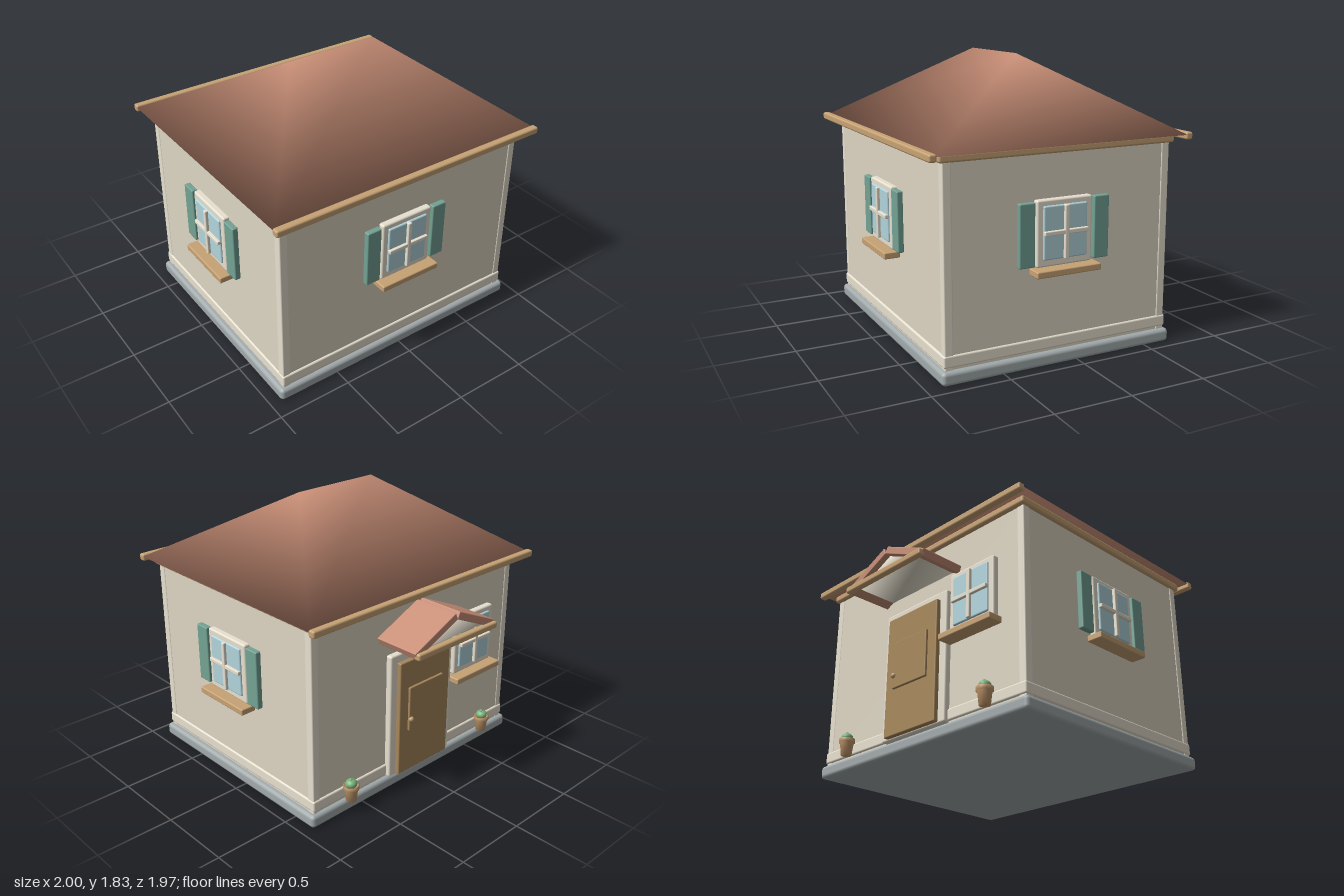
import * as THREE from 'three';
import { RoundedBoxGeometry } from 'three/addons/geometries/RoundedBoxGeometry.js';

const paint = (color, side = THREE.FrontSide) => new THREE.MeshStandardMaterial({ color, side });
const wallMat = paint(0xded6c4), creamMat = paint(0xe8e1d0), stoneMat = paint(0xa3abad);
const roofMat = paint(0xc98f77, THREE.DoubleSide), woodMat = paint(0xc8a375), doorMat = paint(0xa8875b);
const shutterMat = paint(0x73a394), glassMat = paint(0xb2d5dc), potMat = paint(0xc49a6c);
const plantMat = paint(0x79b37c), gableMat = paint(0xe8e1d0, THREE.DoubleSide);

const MID = 0.11; // z of the house centre
const BACK = -0.65, FRONT = 0.87, SIDE = 0.895;

function add(parent, name, geometry, material, x = 0, y = 0, z = 0) {
  const mesh = new THREE.Mesh(geometry, material);
  mesh.name = name;
  mesh.position.set(x, y, z);
  parent.add(mesh);
  return mesh;
}

// Rounded box given by its lower and upper limits on each axis
function block(parent, name, material, [x0, x1], [y0, y1], [z0, z1], radius = 0.008) {
  const w = x1 - x0, h = y1 - y0, d = z1 - z0;
  const r = Math.min(radius, w * 0.45, h * 0.45, d * 0.45);
  return add(parent, name, new RoundedBoxGeometry(w, h, d, 2, r), material,
    (x0 + x1) / 2, (y0 + y1) / 2, (z0 + z1) / 2);
}

// Solid from an indexed vertex list with shared, smooth normals
function solid(points, faces) {
  const g = new THREE.BufferGeometry();
  g.setAttribute('position', new THREE.Float32BufferAttribute(points.flat(), 3));
  g.setIndex(faces.flat());
  g.computeVertexNormals();
  return g;
}

// Window built facing +z with its back on z = 0
function makeWindow(name, shutters) {
  const g = new THREE.Group();
  g.name = name;
  block(g, 'windowFrame', creamMat, [-0.187, 0.187], [0.625, 1.03], [-0.01, 0.04], 0.012);
  block(g, 'glass', glassMat, [-0.148, 0.148], [0.668, 0.995], [0.02, 0.052], 0.01);
  block(g, 'verticalBar', creamMat, [-0.014, 0.014], [0.668, 0.995], [0.04, 0.072], 0.006);
  block(g, 'horizontalBar', creamMat, [-0.148, 0.148], [0.818, 0.846], [0.04, 0.07], 0.006);
  block(g, 'sill', woodMat, [-0.218, 0.218], [0.58, 0.622], [0, 0.105], 0.008);
  if (shutters) for (const s of [-1, 1]) {
    block(g, 'shutter', shutterMat, [s * 0.252 - 0.052, s * 0.252 + 0.052], [0.635, 1.022], [0.005, 0.045]);
  }
  return g;
}

// Flower pot standing on y = 0
function makePot() {
  const g = new THREE.Group();
  g.name = 'flowerPot';
  const profile = [[0, 0], [0.034, 0], [0.043, 0.08], [0.051, 0.082], [0.051, 0.108], [0.042, 0.108], [0.04, 0.098], [0, 0.098]];
  add(g, 'pot', new THREE.LatheGeometry(profile.map(p => new THREE.Vector2(...p)), 20), potMat);
  const plant = add(g, 'plant', new THREE.SphereGeometry(0.038, 16, 12), plantMat, 0, 0.118, 0);
  plant.scale.y = 0.8;
  add(g, 'bud', new THREE.SphereGeometry(0.01, 10, 8), plantMat, 0.005, 0.148, 0);
  return g;
}

function addRoof(house) {
  // Hipped roof with a short ridge along x
  const e = 0.975, y = 1.345, z0 = -0.735, z1 = 0.95;
  const points = [[-e, y, z1], [e, y, z1], [e, y, z0], [-e, y, z0], [-0.315, 1.83, MID], [0.315, 1.83, MID]];
  const faces = [[0, 1, 5], [0, 5, 4], [1, 2, 5], [2, 3, 4], [2, 4, 5], [3, 0, 4], [0, 3, 2], [0, 2, 1]];
  add(house, 'roof', solid(points, faces), roofMat);
  block(house, 'cornice', woodMat, [-0.92, 0.92], [1.295, 1.345], [-0.68, 0.9], 0.015);
  block(house, 'frontEaveBoard', woodMat, [-0.98, 0.98], [1.315, 1.362], [0.934, 0.982], 0.012);
  block(house, 'backEaveBoard', woodMat, [-0.98, 0.98], [1.315, 1.362], [-0.772, -0.724], 0.012);
}

function addDoor(house) {
  block(house, 'doorFrame', creamMat, [-0.285, 0.285], [0.09, 0.95], [-0.69, -0.64], 0.012);
  block(house, 'door', doorMat, [-0.23, 0.23], [0.1, 0.895], [-0.72, -0.67]);
  block(house, 'doorPanel', doorMat, [-0.155, 0.155], [0.4, 0.71], [-0.735, -0.7], 0.006);
  add(house, 'doorKnob', new THREE.SphereGeometry(0.018, 14, 10), woodMat, 0.14, 0.485, -0.735);
}

function addCanopy(house) {
  const g = new THREE.Group();
  g.name = 'doorCanopy';
  house.add(g);
  // Two sloping slabs meeting at the ridge
  const tilt = 0.42, length = 0.385, thick = 0.05;
  for (const s of [-1, 1]) {
    const slab = add(g, 'canopySlab', new RoundedBoxGeometry(length, thick, 0.33, 2, 0.006), roofMat,
      s * 0.183, 1.149, -0.795);
    slab.rotation.z = -s * tilt;
  }
  // Filled gable below the slabs
  const tri = z => [[-0.31, 1.075, z], [0.31, 1.075, z], [0, 1.205, z]];
  const faces = [[0, 2, 1], [3, 4, 5], [0, 1, 4], [0, 4, 3], [1, 2, 5], [1, 5, 4], [2, 0, 3], [2, 3, 5]];
  add(g, 'canopyGable', solid([...tri(-0.92), ...tri(-0.64)], faces), gableMat);
  block(g, 'canopyBeam', woodMat, [-0.36, 0.36], [1.048, 1.092], [-0.985, -0.94], 0.012);
}

export function createModel() {
  const house = new THREE.Group();
  house.name = 'cottage';

  // Base, walls and trim
  block(house, 'foundation', stoneMat, [-0.93, 0.93], [0, 0.085], [-0.68, 0.9], 0.025);
  block(house, 'walls', wallMat, [-SIDE, SIDE], [0.07, 1.32], [BACK, FRONT], 0.01);
  block(house, 'skirting', creamMat, [-0.905, 0.905], [0.1, 0.175], [-0.662, 0.882], 0.012);
  for (const sx of [-1, 1]) for (const z of [BACK + 0.024, FRONT - 0.024]) {
    block(house, 'cornerPost', creamMat, [sx * 0.873 - 0.027, sx * 0.873 + 0.027], [0.08, 1.3], [z - 0.028, z + 0.028]);
  }

  addRoof(house);
  addDoor(house);
  addCanopy(house);

  // Windows: position, turn about y, shutters
  const windows = [
    ['frontWindow', -0.005, FRONT, 0, true],
    ['leftWindow', SIDE, MID, Math.PI / 2, true],
    ['rightWindow', -SIDE, MID, -Math.PI / 2, true],
    ['backWindow', -0.5, BACK, Math.PI, false],
  ];
  for (const [name, x, z, turn, shutters] of windows) {
    const w = makeWindow(name, shutters);
    w.position.set(x, 0, z);
    w.rotation.y = turn;
    house.add(w);
  }

  // Pots beside the door
  for (const x of [-0.63, 0.63]) {
    const pot = makePot();
    pot.position.set(x, 0.09, -0.7);
    house.add(pot);
  }
  return house;
}
